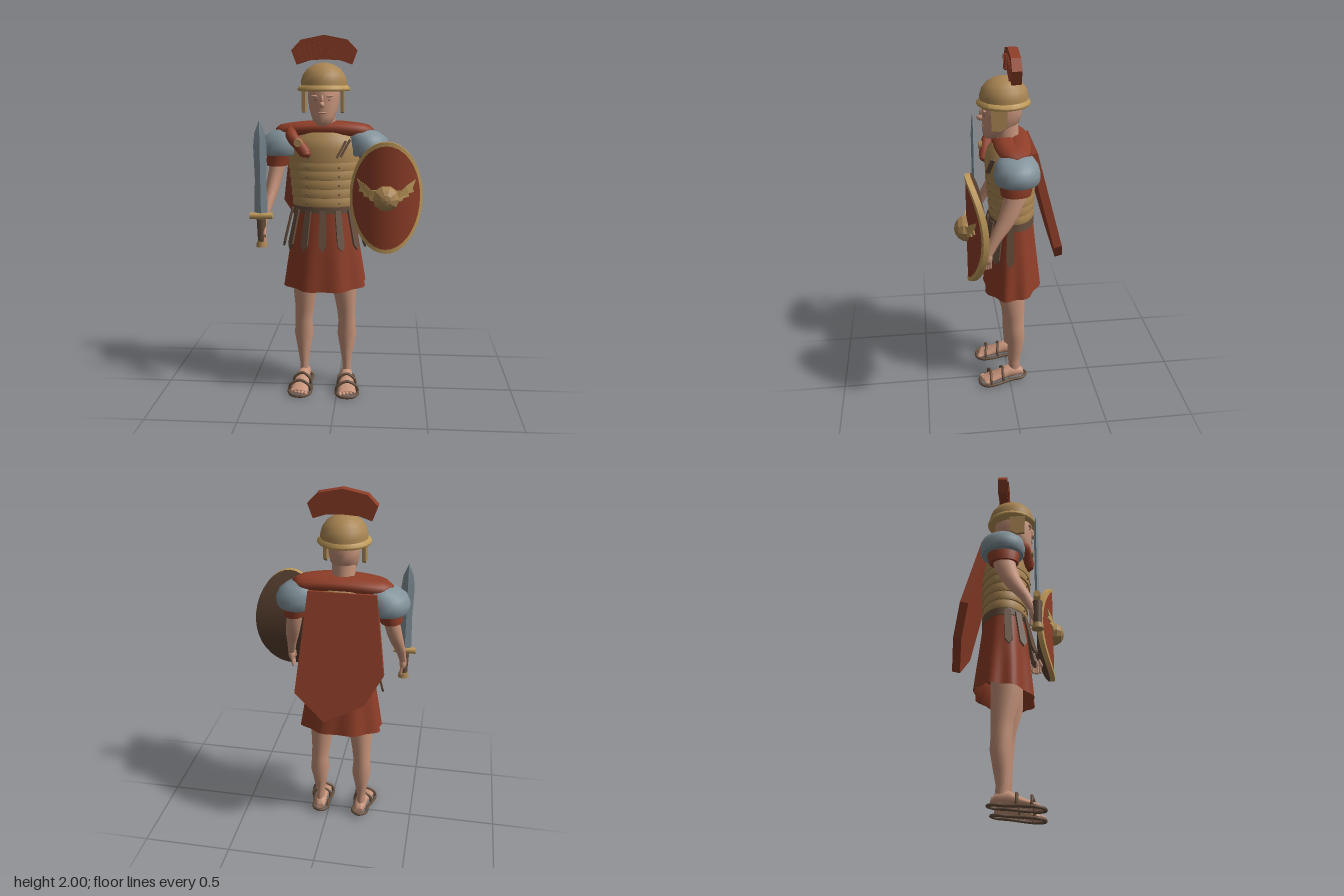
import * as THREE from 'three';
import { toCreasedNormals } from 'three/addons/utils/BufferGeometryUtils.js';

const mat = (name, color) => Object.assign(new THREE.MeshStandardMaterial({ color }), { name });
const red = mat('red cloth', 0x8f3e28), bronze = mat('bronze', 0xa98552), gold = mat('light bronze', 0xc09a5a);
const steel = mat('steel', 0x82929a), skin = mat('skin', 0xc6937a), leather = mat('brown leather', 0x654e3c);
const dark = mat('dark wood', 0x573f2f);

// Closed surface through horizontal rings [y, cx, cz, rx, rz, ripple, tilt], listed upwards
function loft(rings, n = 24, crease = 0.8) {
  const pos = [], idx = [];
  for (const [y, cx, cz, rx, rz, ripple = 0, tilt = 0] of rings)
    for (let j = 0; j < n; j++) {
      const a = j / n * Math.PI * 2, k = 1 + ripple * Math.cos(a * 8 + Math.PI);
      const z = cz + Math.sin(a) * rz * k;
      pos.push(cx + Math.cos(a) * rx * k, y - tilt * z, z);
    }
  const last = (rings.length - 1) * n, c0 = rings.length * n;
  for (const r of [rings[0], rings[rings.length - 1]]) pos.push(r[1], r[0], r[2]);
  for (let j = 0; j < n; j++) {
    const k = (j + 1) % n;
    for (let i = 0; i < last; i += n) idx.push(i + j, i + n + j, i + k, i + k, i + n + j, i + n + k);
    idx.push(c0, j, k, c0 + 1, last + k, last + j);
  }
  const g = new THREE.BufferGeometry();
  g.setAttribute('position', new THREE.Float32BufferAttribute(pos, 3));
  g.setIndex(idx);
  return toCreasedNormals(g, crease);
}

const polygon = pts => new THREE.Shape(pts.map(p => new THREE.Vector2(...p)));
const extrude = (pts, depth) => new THREE.ExtrudeGeometry(polygon(pts), { depth, bevelEnabled: false });
const vec = p => new THREE.Vector3(...p);
const tube = (pts, r, closed = false, n = 24) =>
  new THREE.TubeGeometry(new THREE.CatmullRomCurve3(pts.map(vec), closed), n, r, 10, closed);

export function createModel() {
  const model = new THREE.Group();
  const body = new THREE.Group();
  body.name = 'soldier';
  body.position.x = -0.075;
  model.add(body);
  const add = (name, geo, m, p = [0, 0, 0], parent = body) => {
    const mesh = new THREE.Mesh(geo, m);
    mesh.name = name;
    mesh.position.set(...p);
    parent.add(mesh);
    return mesh;
  };
  const blob = (name, m, p, r, parent) => {
    const b = add(name, new THREE.SphereGeometry(1, 14, 10), m, p, parent);
    b.scale.set(...r);
    return b;
  };

  // Head and neck
  add('neck', loft([[1.44, 0, -0.01, 0.07, 0.07], [1.52, 0, 0.002, 0.062, 0.066], [1.62, 0, 0.015, 0.064, 0.075]]), skin);
  add('head', loft([[1.525, 0, 0.09, 0.025, 0.025], [1.54, 0, 0.08, 0.045, 0.048], [1.57, 0, 0.055, 0.063, 0.078],
    [1.61, 0, 0.032, 0.077, 0.1], [1.66, 0, 0.027, 0.084, 0.108], [1.72, 0, 0.025, 0.085, 0.108], [1.79, 0, 0.02, 0.06, 0.08]], 28), skin);
  blob('nose', skin, [0, 1.637, 0.138], [0.014, 0.017, 0.024]);
  blob('noseBridge', skin, [0, 1.662, 0.132], [0.009, 0.027, 0.015]);
  blob('upperLip', skin, [0, 1.594, 0.127], [0.024, 0.006, 0.01]);
  blob('lowerLip', skin, [0, 1.581, 0.122], [0.021, 0.007, 0.011]);
  blob('chin', skin, [0, 1.55, 0.113], [0.022, 0.018, 0.017]);
  for (const s of [-1, 1]) {
    blob('eye', leather, [s * 0.033, 1.662, 0.122], [0.011, 0.003, 0.006]);
    blob('brow', skin, [s * 0.035, 1.68, 0.123], [0.024, 0.007, 0.009]).rotation.z = s * 0.12;
  }

  // Helmet: dome, brim and cheek guards
  add('helmetDome', loft([[1.715, 0, 0.016, 0.125, 0.13], [1.755, 0, 0.016, 0.125, 0.13], [1.79, 0, 0.016, 0.114, 0.119],
    [1.822, 0, 0.016, 0.09, 0.094], [1.845, 0, 0.016, 0.052, 0.056], [1.855, 0, 0.016, 0.014, 0.014]], 24), bronze);
  add('helmetBrim', loft([[1.706, 0, 0.018, 0.136, 0.138], [1.712, 0, 0.018, 0.142, 0.143], [1.72, 0, 0.018, 0.142, 0.143],
    [1.736, 0, 0.016, 0.126, 0.131]], 28), gold);
  for (const s of [-1, 1]) {
    const g = extrude([[0.008, 1.715], [0.012, 1.612], [0.045, 1.59], [0.092, 1.596], [0.098, 1.715]], 0.018);
    g.rotateY(-Math.PI / 2);
    add('cheekGuard', g, bronze, [s * 0.103 + 0.009, 0, 0]);
  }

  // Crest: faceted fan with ridges on its front
  add('crest', extrude([[-0.15, 1.845], [-0.178, 1.92], [-0.125, 1.975], [0, 2], [0.125, 1.975], [0.178, 1.92], [0.15, 1.845],
    [0.085, 1.867], [0, 1.872], [-0.085, 1.867]], 0.052), red, [0, 0, -0.057]);
  for (let i = -5; i <= 5; i++)
    add('crestRidge', new THREE.BoxGeometry(0.011, 0.075, 0.014), red, [i * 0.026, 1.925 - i * i * 0.0012, -0.003]).rotation.z = -i * 0.06;

  // Breastplate with overlapping waist bands, rivets and buckles
  add('breastplate', loft([[1.325, 0, -0.018, 0.202, 0.138], [1.4, 0, -0.018, 0.2, 0.14], [1.45, 0, -0.02, 0.18, 0.128],
    [1.485, 0, -0.02, 0.14, 0.1]], 32), bronze);
  for (let i = 0; i < 5; i++) {
    const y = 1.335 - i * 0.05, rx = 0.199 - i * 0.005, rz = 0.136 - i * 0.003, cz = -0.018 - i * 0.0015;
    add('waistBand', loft([[y - 0.055, 0, cz, rx + 0.001, rz + 0.001], [y - 0.045, 0, cz, rx + 0.003, rz + 0.003],
      [y - 0.02, 0, cz, rx, rz], [y, 0, cz, rx - 0.006, rz - 0.006]], 32, 0.5), bronze);
    for (const s of [-1, 1])
      blob('rivet', leather, [s * 0.088, y - 0.035, cz + (rz + 0.004) * Math.sqrt(1 - (0.088 / rx) ** 2)], [0.005, 0.005, 0.005]);
  }
  for (const s of [-1, 1])
    for (const d of [0, 0.022]) {
      const b = add('buckleStrap', new THREE.BoxGeometry(0.011, 0.105, 0.012), leather, [s * (0.1 + d), 1.398 + d * 0.3, 0.105 - d * 0.3]);
      b.rotation.set(-0.12, s * 0.25, -s * 0.5);
    }

  // Belt, tunic skirt and hanging leather strips
  add('belt', loft([[1.04, 0, -0.025, 0.181, 0.126, 0, -0.05], [1.105, 0, -0.025, 0.176, 0.123, 0, -0.05]], 32, 0.5), leather);
  add('tunicSkirt', loft([[0.76, 0, -0.025, 0.19, 0.125], [0.627, 0, -0.025, 0.226, 0.156, 0.05, 0.13],
    [0.622, 0, -0.025, 0.232, 0.162, 0.05, 0.13], [0.75, 0, -0.025, 0.213, 0.15, 0.04, 0.06],
    [0.9, 0, -0.025, 0.19, 0.135, 0.02], [1.06, 0, -0.025, 0.172, 0.118]], 72), red);
  for (let i = -3; i <= 3; i++) {
    const a = Math.PI / 2 + i * 0.46;
    const pivot = new THREE.Group();
    pivot.name = 'skirtStrip';
    pivot.position.set(Math.cos(a) * 0.176, 1.06, Math.sin(a) * 0.124 - 0.024);
    pivot.rotation.set(-0.24, Math.PI / 2 - a, 0, 'YXZ');
    body.add(pivot);
    add('strip', extrude([[-0.017, 0], [-0.021, -0.195], [0, -0.225], [0.021, -0.195], [0.017, 0]], 0.011), leather, [0, 0, 0], pivot);
  }

  // Legs, feet and sandals
  for (const s of [-1, 1]) {
    add('leg', loft([[0.04, s * 0.125, -0.035, 0.025, 0.034], [0.13, s * 0.125, -0.026, 0.024, 0.033], [0.2, s * 0.125, -0.03, 0.035, 0.042],
      [0.31, s * 0.125, -0.038, 0.055, 0.053], [0.39, s * 0.125, -0.031, 0.049, 0.055], [0.47, s * 0.12, -0.028, 0.053, 0.06],
      [0.6, s * 0.112, -0.01, 0.069, 0.08], [0.8, s * 0.1, -0.01, 0.075, 0.085]]), skin);
    const foot = new THREE.Group();
    foot.name = 'foot';
    foot.position.set(s * 0.125, 0.02, 0);
    foot.rotation.set(0.09, s * 0.08, 0);
    body.add(foot);
    const g = loft([[-0.085, 0, -0.024, 0.022, 0.02], [-0.06, 0, -0.038, 0.033, 0.034], [0, 0, -0.044, 0.035, 0.04],
      [0.06, 0, -0.031, 0.042, 0.027], [0.12, 0, -0.02, 0.05, 0.017], [0.155, 0, -0.016, 0.047, 0.012]], 20);
    add('footBody', g.rotateX(Math.PI / 2), skin, [0, 0, 0], foot);
    for (let i = -2; i <= 2; i++)
      blob('toe', skin, [i * 0.02, 0.015, 0.16 - (s * i + 2) * 0.005], [0.011, 0.011, 0.018], foot);
    const outline = [[-0.04, 0, -0.07], [-0.042, 0, 0], [-0.06, 0, 0.09], [-0.058, 0, 0.145], [-0.03, 0, 0.178],
      [0.03, 0, 0.178], [0.058, 0, 0.145], [0.06, 0, 0.09], [0.042, 0, 0], [0.04, 0, -0.07], [0, 0, -0.1]];
    add('soleRim', tube(outline, 0.009, true, 60), leather, [0, 0.004, 0], foot);
    for (const [z, r, h] of [[0.045, 0.05, 0.074], [0.12, 0.06, 0.066]])
      add('sandalStrap', tube([[-r, 0, z], [-r * 0.9, h * 0.6, z], [0, h, z - 0.008], [r * 0.9, h * 0.6, z], [r, 0, z]], 0.008), leather, [0, 0, 0], foot);
  }

  // Arms, hands, sleeves and shoulder guards
  for (const s of [-1, 1]) {
    add('arm', loft([[0.985, s * 0.325, 0.138, 0.02, 0.024], [1.06, s * 0.313, 0.102, 0.026, 0.033], [1.14, s * 0.295, 0.05, 0.036, 0.048],
      [1.2, s * 0.282, 0.018, 0.04, 0.054], [1.28, s * 0.267, -0.01, 0.043, 0.06], [1.39, s * 0.25, -0.02, 0.048, 0.06]], 20), skin);
    blob('palm', skin, [s * 0.325, 0.967, 0.143], [0.02, 0.04, 0.027]);
    for (let i = 0; i < 4; i++)
      add('finger', new THREE.CapsuleGeometry(0.008, 0.045, 3, 8), skin, [s * 0.318, 0.918 + Math.abs(i - 1.5) * 0.005, 0.126 + i * 0.014]).rotation.z = -s * 0.12;
    add('thumb', new THREE.CapsuleGeometry(0.009, 0.035, 3, 8), skin, [s * 0.312, 0.96, 0.17]).rotation.x = -0.4;
    add('sleeve', loft([[1.298, s * 0.262, -0.015, 0.06, 0.079], [1.33, s * 0.258, -0.018, 0.066, 0.085], [1.38, s * 0.245, -0.02, 0.07, 0.09]]), red);
    add('shoulderGuard', loft([[1.358, s * 0.24, -0.024, 0.108, 0.112], [1.37, s * 0.24, -0.024, 0.117, 0.12], [1.41, s * 0.24, -0.024, 0.12, 0.122],
      [1.45, s * 0.232, -0.024, 0.11, 0.112], [1.48, s * 0.215, -0.024, 0.088, 0.09], [1.503, s * 0.195, -0.024, 0.04, 0.045]], 28), steel);
  }

  // Cloak: rolled mantle, front fold with clasp, stiff back panel
  const roll = [];
  for (let i = 0; i < 16; i++) {
    const a = i / 8 * Math.PI, c = Math.cos(a);
    roll.push([c * 0.203, (1.505 - 0.016 * c * c) / 0.58, Math.sin(a) * 0.034 - 0.022]);
  }
  add('mantle', tube(roll, 0.07, true, 48), red).scale.y = 0.58;
  add('cloakFold', tube([[-0.18, 1.5, 0.02], [-0.165, 1.46, 0.085], [-0.125, 1.42, 0.105], [-0.092, 1.375, 0.115]], 0.033), red);
  blob('foldEnd', red, [-0.092, 1.375, 0.115], [0.031, 0.02, 0.028]);
  const clasp = add('clasp', new THREE.CylinderGeometry(0.021, 0.025, 0.02, 12), bronze, [-0.13, 1.435, 0.134]);
  clasp.rotation.x = Math.PI / 2;
  const panel = extrude([[-0.195, 0], [-0.255, -0.42], [-0.16, -0.59], [0.05, -0.7], [0.215, -0.55], [0.165, 0]], 0.045);
  add('cloakPanel', panel.translate(0, 0, -0.045), red, [0, 1.475, -0.099]).rotation.x = 0.25;

  // Sword
  const sword = new THREE.Group();
  sword.name = 'sword';
  sword.position.set(-0.33, 0, 0.16);
  body.add(sword);
  add('blade', loft([[1.05, 0, 0, 0.036, 0.011], [1.25, 0, 0, 0.031, 0.011], [1.42, 0, 0, 0.036, 0.011], [1.49, 0, 0, 0.028, 0.009],
    [1.557, 0, 0, 0.001, 0.001]], 4, 0.2), steel, [0, 0, 0], sword);
  add('guard', new THREE.CylinderGeometry(0.018, 0.018, 0.125, 12), gold, [0, 1.042, 0], sword).rotation.z = Math.PI / 2;
  add('grip', new THREE.CylinderGeometry(0.026, 0.021, 0.13, 12), leather, [0, 0.962, 0], sword);
  add('pommel', new THREE.CylinderGeometry(0.026, 0.032, 0.03, 12), bronze, [0, 0.887, 0], sword);

  // Oval shield, curved about its vertical axis; its back is filled straight across
  const shield = new THREE.Group();
  shield.name = 'shield';
  shield.position.set(0.268, 1.16, 0.25);
  model.add(shield);
  const bend = (geo, sx = 0.193, sy = 0.295, straight = false) => {
    geo.scale(sx, sy, 1);
    const p = geo.attributes.position;
    for (let i = 0; i < p.count; i++) {
      const x2 = straight ? sx * sx * (1 - (p.getY(i) / sy) ** 2) : p.getX(i) ** 2;
      p.setZ(i, p.getZ(i) - 2 * x2);
    }
    geo.computeVertexNormals();
    return geo;
  };
  add('shieldFace', bend(new THREE.RingGeometry(0, 0.95, 36, 8)), red, [0, 0, 0], shield);
  add('shieldRim', bend(new THREE.RingGeometry(0.925, 1, 36, 2).translate(0, 0, 0.004)), gold, [0, 0, 0], shield);
  add('shieldEdge', bend(new THREE.CylinderGeometry(1, 1, 0.029, 36, 1, true).rotateX(Math.PI / 2).translate(0, 0, -0.0105)), gold, [0, 0, 0], shield);
  add('shieldBack', bend(new THREE.RingGeometry(0, 1, 36, 8).rotateY(Math.PI).translate(0, 0, -0.024), 0.193, 0.295, true), dark, [0, 0, 0], shield);
  const boss = new THREE.SphereGeometry(0.07, 10, 4, 0, Math.PI * 2, 0, Math.PI / 2).rotateX(Math.PI / 2);
  add('shieldBoss', toCreasedNormals(boss, 0.2), bronze, [0, 0, -0.005], shield);
  for (const s of [-1, 1]) {
    const pts = [[0.03, -0.02], [0.085, -0.01], [0.09, 0.005], [0.12, 0.01], [0.116, 0.028], [0.145, 0.034], [0.138, 0.055],
      [0.155, 0.1], [0.105, 0.068], [0.08, 0.045], [0.03, 0.045]].map(([x, y]) => [s * x, y]);
    add('shieldWing', bend(extrude(pts, 0.008), 1, 1), gold, [0, 0, 0.008], shield);
  }
  return model;
}
